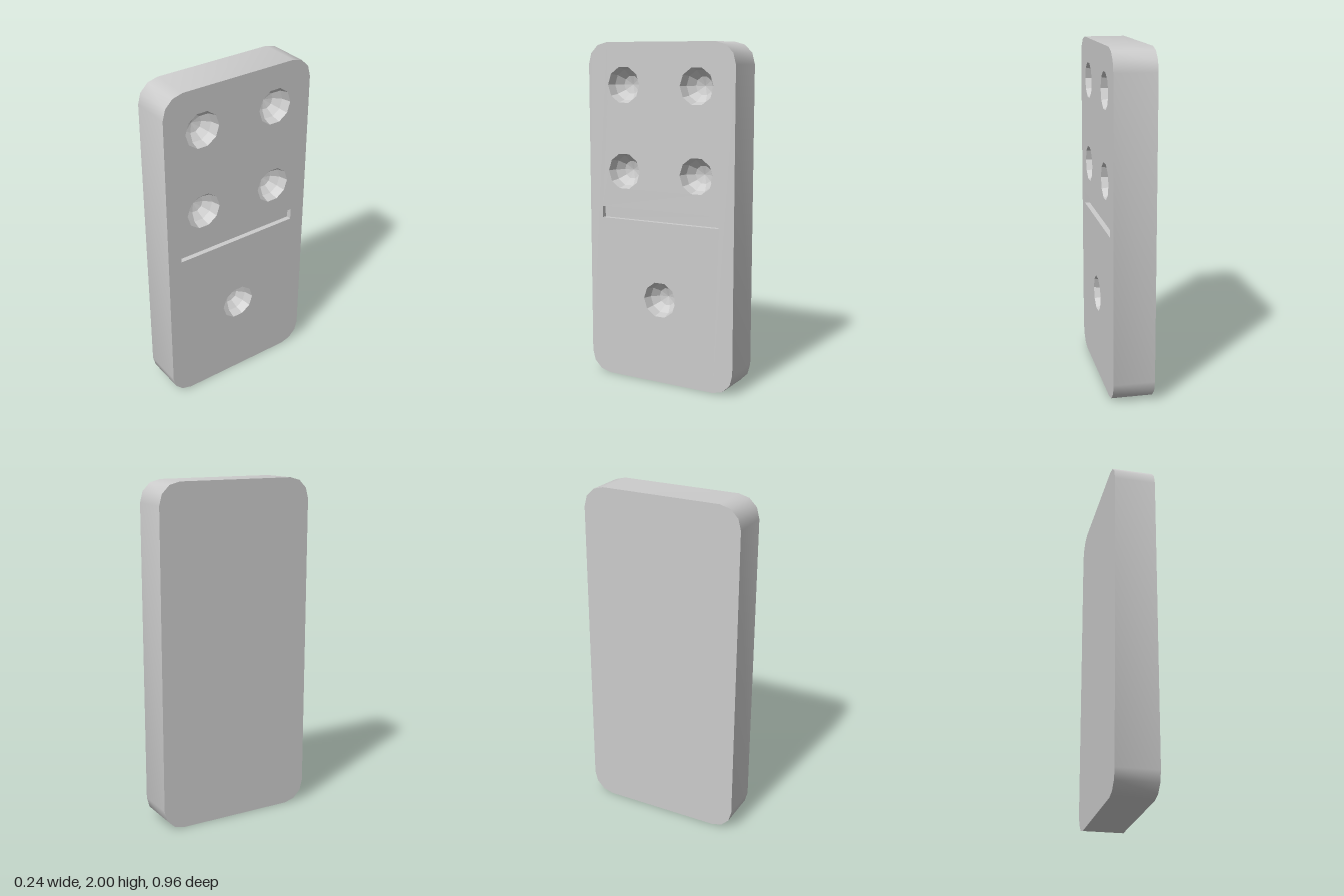
import * as THREE from 'three';
import { toCreasedNormals } from 'three/addons/utils/BufferGeometryUtils.js';

const HALF_W = 0.48, HEIGHT = 2, HALF_T = 0.12, CORNER = 0.125;
const PIP_R = 0.107, GROOVE_DEPTH = 0.03;
const PIPS = [[-0.24, 1.755], [0.24, 1.755], [-0.24, 1.253], [0.24, 1.253], [0, 0.505]];

// Counter-clockwise outline with three-segment rounded corners
function tileOutline() {
  const x = HALF_W - CORNER, top = HEIGHT - CORNER;
  const centres = [[x, top], [-x, top], [-x, CORNER], [x, CORNER]];
  const pts = [];
  centres.forEach(([cx, cy], q) => {
    for (let i = 0; i <= 3; i++) {
      const a = (q + i / 3) * Math.PI / 2;
      pts.push(new THREE.Vector2(cx + CORNER * Math.cos(a), cy + CORNER * Math.sin(a)));
    }
  });
  return pts;
}

// Closed strip between two depths; faces outward for a counter-clockwise loop
function wall(loop, z0, z1) {
  const pos = [];
  loop.forEach((a, i) => {
    const b = loop[(i + 1) % loop.length];
    pos.push(a.x, a.y, z0, b.x, b.y, z0, b.x, b.y, z1);
    pos.push(a.x, a.y, z0, b.x, b.y, z1, a.x, a.y, z1);
  });
  const g = new THREE.BufferGeometry();
  g.setAttribute('position', new THREE.Float32BufferAttribute(pos, 3));
  return toCreasedNormals(g, THREE.MathUtils.degToRad(35));
}

export function createModel() {
  const model = new THREE.Group();
  model.name = 'dominoTile';
  const smooth = new THREE.MeshStandardMaterial({ color: 0xcccccc });
  const faceted = new THREE.MeshStandardMaterial({ color: 0xcccccc, flatShading: true });

  // Built facing +z, then turned so the pips face +x
  const add = (name, geometry, material = smooth) => {
    const mesh = new THREE.Mesh(geometry.rotateY(Math.PI / 2), material);
    mesh.name = name;
    model.add(mesh);
  };

  const outline = tileOutline();
  const groove = [[-0.395, 0.967], [0.385, 0.967], [0.385, 1.035], [-0.395, 1.035]]
    .map(([x, y]) => new THREE.Vector2(x, y));

  // Pip face with openings for the pips and the dividing groove
  const face = new THREE.Shape(outline);
  face.holes.push(new THREE.Path(groove));
  for (const [x, y] of PIPS) {
    const ring = [];
    for (let i = 0; i < 10; i++) {
      const a = i * Math.PI / 5;
      ring.push(new THREE.Vector2(x + PIP_R * Math.cos(a), y + PIP_R * Math.sin(a)));
    }
    face.holes.push(new THREE.Path(ring));
  }
  add('pipFace', new THREE.ShapeGeometry(face).translate(0, 0, HALF_T));

  // Plain back and rounded edge
  add('backFace', new THREE.ShapeGeometry(new THREE.Shape(outline)).rotateY(Math.PI).translate(0, 0, -HALF_T));
  add('edge', wall(outline, -HALF_T, HALF_T));

  // Dividing groove
  add('grooveWalls', wall([...groove].reverse(), HALF_T - GROOVE_DEPTH, HALF_T));
  add('grooveFloor', new THREE.ShapeGeometry(new THREE.Shape(groove)).translate(0, 0, HALF_T - GROOVE_DEPTH));

  // Hemispherical pips, profile run from rim to bottom so they face inward
  const profile = [0, 1, 2, 3].map((i) => {
    const a = i * Math.PI / 6;
    return new THREE.Vector2(i === 3 ? 0 : PIP_R * Math.cos(a), -PIP_R * Math.sin(a));
  });
  PIPS.forEach(([x, y], i) => {
    const bowl = new THREE.LatheGeometry(profile, 10, Math.PI / 2);
    add(`pip${i + 1}`, bowl.rotateX(Math.PI / 2).translate(x, y, HALF_T), faceted);
  });

  return model;
}
